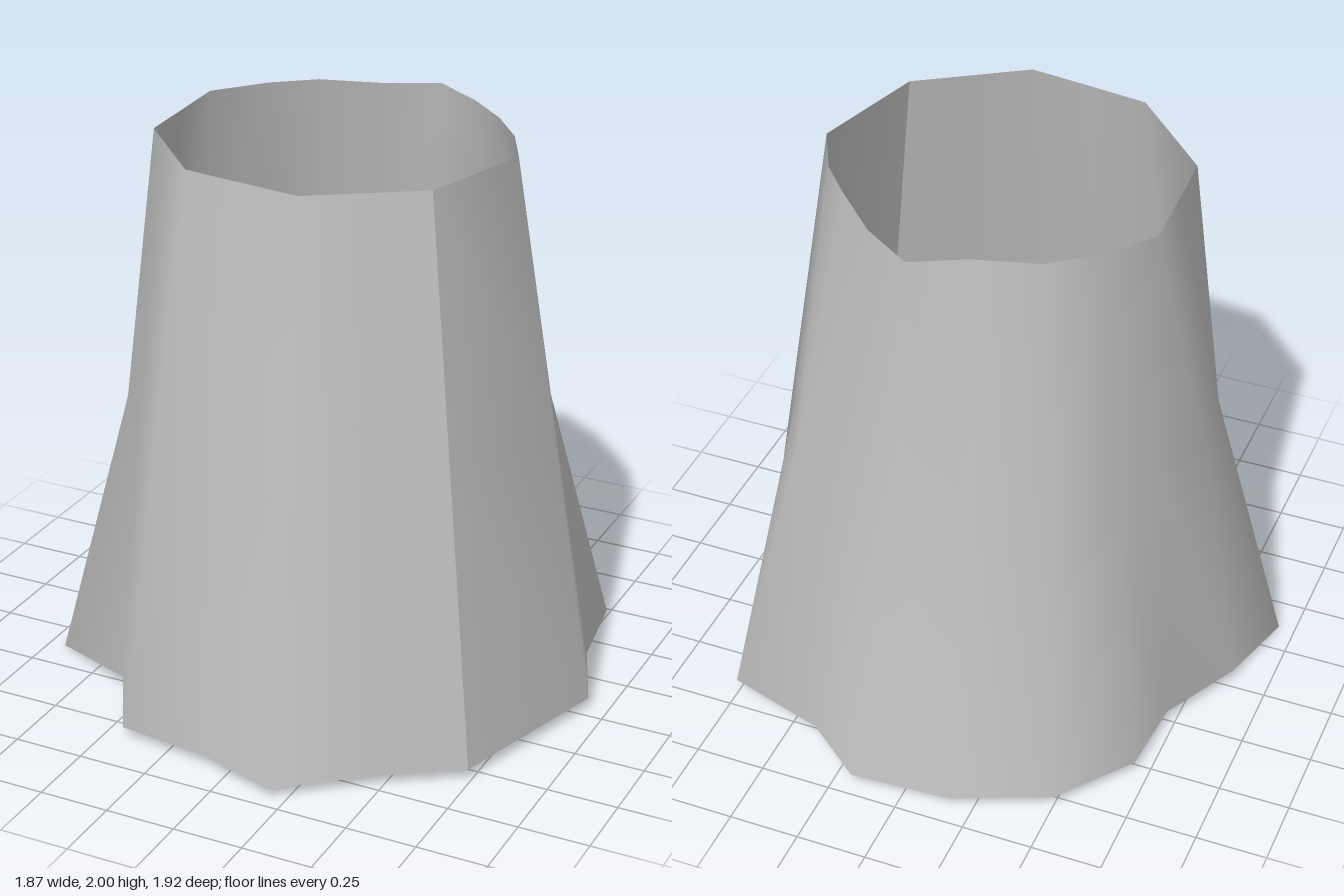
import * as THREE from 'three';

// Plan outlines [x, z], counter-clockwise seen from above, starting at the seam.
const RIM = [
  [0.5, 0.38], [0.62, -0.03], [0.53, -0.21], [0.42, -0.34], [0.26, -0.5], [0.08, -0.62],
  [-0.1, -0.53], [-0.32, -0.47], [-0.46, -0.36], [-0.6, -0.19], [-0.59, 0.02], [-0.58, 0.24],
  [-0.44, 0.39], [-0.29, 0.55], [-0.08, 0.58], [0.14, 0.61], [0.32, 0.495],
];
const HEM = [
  [0.74, 0.56], [0.93, -0.05], [0.81, -0.34], [0.76, -0.67], [0.4, -0.78], [0.18, -0.96],
  [-0.17, -0.93], [-0.5, -0.79], [-0.7, -0.53], [-0.72, -0.25], [-0.87, 0.04], [-0.94, 0.37],
  [-0.58, 0.57], [-0.43, 0.83], [-0.1, 0.87], [0.19, 0.96], [0.48, 0.73],
];
// Folds whose middle is drawn in from the straight line between rim and hem
const WAIST = { 3: [0.56, -0.49], 5: [0.11, -0.68], 6: [-0.16, -0.69], 11: [-0.68, 0.3], 12: [-0.53, 0.48], 15: [0.17, 0.76] };
// Uneven heights along the rim and hem
const RIM_Y = { 3: 2 };
const HEM_Y = { 5: 0.05, 11: 0, 12: 0.065 };

export function createModel() {
  const group = new THREE.Group();
  group.name = 'flaredSkirt';
  const cloth = new THREE.MeshStandardMaterial({ color: 0xbebebe, side: THREE.DoubleSide });
  cloth.name = 'light grey';

  const n = RIM.length;
  const positions = [];
  const indices = [];
  // The last column repeats the first, which leaves a sharp seam
  for (let c = 0; c <= n; c++) {
    const i = c % n;
    const [tx, tz] = RIM[i];
    const [bx, bz] = HEM[i];
    const [mx, mz] = WAIST[i] ?? [(tx + bx) / 2, (tz + bz) / 2];
    positions.push(tx, RIM_Y[i] ?? 1.992, tz, mx, 1.02, mz, bx, HEM_Y[i] ?? 0.04, bz);
  }
  for (let c = 0; c < n; c++) {
    for (let r = 0; r < 2; r++) {
      const a = c * 3 + r;
      indices.push(a, a + 1, a + 4, a, a + 4, a + 3);
    }
  }

  const geometry = new THREE.BufferGeometry();
  geometry.setAttribute('position', new THREE.Float32BufferAttribute(positions, 3));
  geometry.setIndex(indices);
  geometry.computeVertexNormals();

  const skirt = new THREE.Mesh(geometry, cloth);
  skirt.name = 'skirtCloth';
  group.add(skirt);
  return group;
}
